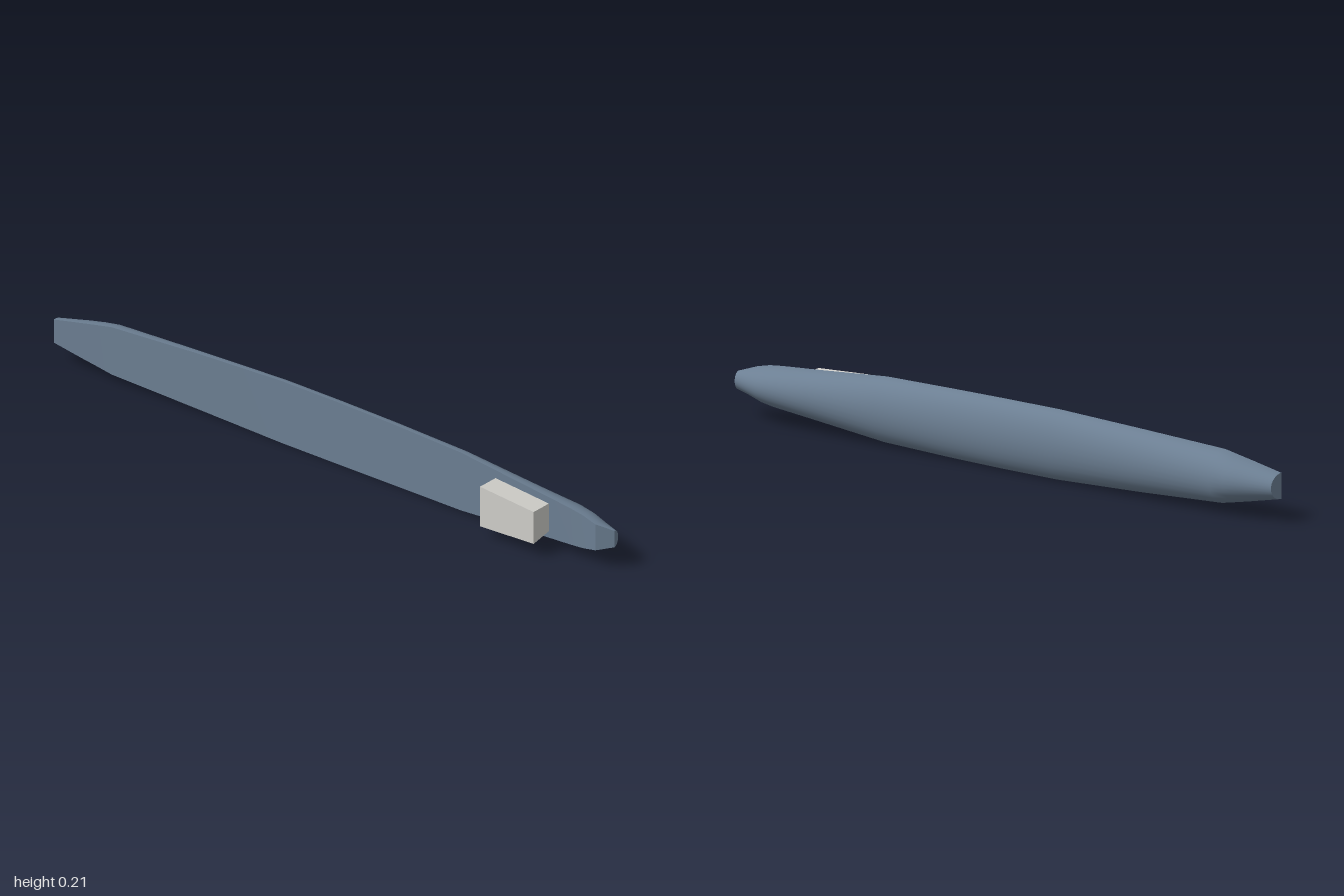
import * as THREE from 'three';

const MID = 0.107; // height of the long axis
const ARC = 16;    // segments around the rounded back

// Surface through rows of points, facing (row direction) x (point direction)
function loft(rows) {
  const n = rows[0].length, pos = rows.flat(2), idx = [];
  for (let i = 0; i < rows.length - 1; i++) {
    for (let j = 0; j < n - 1; j++) {
      const a = i * n + j, b = a + n;
      idx.push(a, b, a + 1, b, b + 1, a + 1);
    }
  }
  const g = new THREE.BufferGeometry();
  g.setAttribute('position', new THREE.Float32BufferAttribute(pos, 3));
  g.setIndex(idx);
  g.computeVertexNormals();
  return g;
}

export function createModel() {
  const group = new THREE.Group();
  const hullBlue = new THREE.MeshStandardMaterial({ color: 0x6c7f93 });
  hullBlue.name = 'slate blue';
  const paleGrey = new THREE.MeshStandardMaterial({ color: 0xd0cfca });
  paleGrey.name = 'pale grey';

  const add = (name, geometry, material) => {
    const mesh = new THREE.Mesh(geometry, material);
    mesh.name = name;
    group.add(mesh);
  };

  // Hull stations: x, half width, front z, back z
  const stations = [
    [-1, 0.039, 0.014, -0.034], [-0.9, 0.06, 0.009, -0.063],
    [-0.85, 0.07, 0.006, -0.073], [-0.8, 0.08, 0.004, -0.075],
    [-0.5, 0.094, -0.007, -0.075], [-0.2, 0.105, -0.013, -0.075],
    [0, 0.105, -0.014, -0.075], [0.2, 0.103, -0.013, -0.075],
    [0.45, 0.098, -0.008, -0.075], [0.7, 0.075, 0, -0.075],
    [0.85, 0.062, 0.006, -0.074], [0.9, 0.056, 0.009, -0.065],
    [0.95, 0.044, 0.013, -0.05], [1, 0.028, -0.012, -0.031],
  ];

  // Half-elliptic section from the top edge, round the back, to the bottom edge
  const rings = stations.map(([x, w, zf, zb]) =>
    Array.from({ length: ARC + 1 }, (_, j) => {
      const a = (j / ARC) * Math.PI;
      return [x, MID + w * Math.cos(a), zf + (zb - zf) * Math.sin(a)];
    }));
  add('hull', loft(rings), hullBlue);

  // Flat face closing the front of the hull, with a sharp break at the bow
  const edges = rings.map((r) => [r[ARC], r[0]]);
  add('deck', loft(edges.slice(0, -1)), hullBlue);
  add('bowDeck', loft(edges.slice(-2)), hullBlue);

  // Flat ends
  const hub = (i) => rings[i].map(() => [stations[i][0], MID, stations[i][2]]);
  const last = rings.length - 1;
  add('stern', loft([hub(0), rings[0]]), hullBlue);
  add('bowTip', loft([rings[last], hub(last)]), hullBlue);

  // Tapered cabin: narrower toward the bow and toward the hull
  const cabin = new THREE.BoxGeometry(1, 1, 1).toNonIndexed();
  const p = cabin.attributes.position;
  for (let i = 0; i < p.count; i++) {
    const bow = p.getX(i) > 0, outer = p.getZ(i) > 0;
    const half = (bow ? 0.054 : 0.067) - (outer ? 0 : 0.009);
    p.setXYZ(i, bow ? 0.775 : 0.578, MID + Math.sign(p.getY(i)) * half,
      outer ? (bow ? 0.077 : 0.072) : -0.015);
  }
  cabin.computeVertexNormals();
  add('cabin', cabin, paleGrey);

  return group;
}
